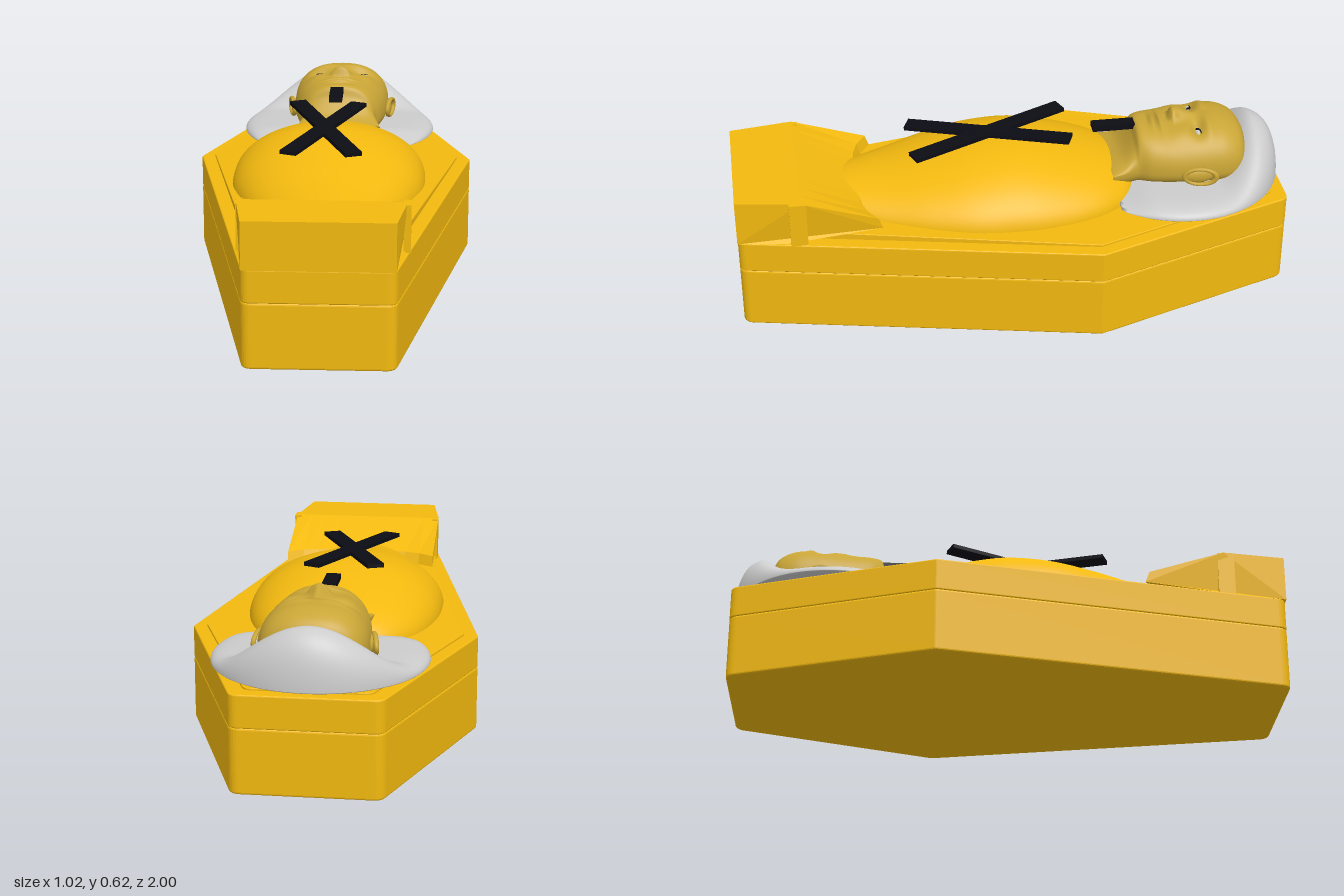
import * as THREE from 'three';
import { ParametricGeometry } from 'three/addons/geometries/ParametricGeometry.js';

const mat = (color) => new THREE.MeshStandardMaterial({ color, side: THREE.DoubleSide });
const gold = mat(0xf2b90f), skin = mat(0xc9a536), grey = mat(0xcccccc), black = mat(0x0c0c14);
const smooth = THREE.MathUtils.smoothstep;
const bump = (x, z, sx, sz) => Math.exp(-((x / sx) ** 2) - (z / sz) ** 2);
const spow = (v, p) => Math.sign(v) * Math.abs(v) ** p;

export function createModel() {
  const group = new THREE.Group();
  const add = (name, geometry, material, x = 0, y = 0, z = 0) => {
    const mesh = new THREE.Mesh(geometry, material);
    mesh.name = name;
    mesh.position.set(x, y, z);
    group.add(mesh);
    return mesh;
  };
  const deform = (g, rule) => {
    const p = g.attributes.position, v = new THREE.Vector3();
    for (let i = 0; i < p.count; i++) {
      rule(v.fromBufferAttribute(p, i));
      p.setXYZ(i, v.x, v.y, v.z);
    }
    g.computeVertexNormals();
    return g;
  };

  // Six-sided coffin outline with softened corners
  const outline = (inset) => {
    const a = 0.25 - inset * 0.8, b = 0.51 - inset, e = 0.995 - inset;
    const pts = [[-a, -e], [a, -e], [b, 0.265], [a, e], [-a, e], [-b, 0.265]].map((p) => new THREE.Vector2(...p));
    const shape = new THREE.Shape();
    pts.forEach((p, i) => {
      const prev = pts[(i + 5) % 6], next = pts[(i + 1) % 6];
      const r = i % 3 === 2 ? 0.004 : 0.025;
      const from = p.clone().lerp(prev, r / p.distanceTo(prev));
      const to = p.clone().lerp(next, r / p.distanceTo(next));
      if (i) shape.lineTo(from.x, from.y); else shape.moveTo(from.x, from.y);
      shape.quadraticCurveTo(p.x, p.y, to.x, to.y);
    });
    return shape;
  };
  const slab = (y0, y1, inset, bevel) => new THREE.ExtrudeGeometry(outline(inset + bevel), {
    depth: y1 - y0 - 2 * bevel, bevelSize: bevel, bevelThickness: bevel, bevelSegments: 3, curveSegments: 6,
  }).rotateX(-Math.PI / 2).translate(0, y0 + bevel, 0);
  add('coffinBase', slab(0, 0.231, 0, 0.008), gold);
  add('coffinLid', slab(0.229, 0.345, 0, 0.005), gold);
  // Thin bed board, a little higher towards the feet
  add('bedBoard', deform(slab(0.34, 0.352, 0.05, 0.003), (v) => {
    if (v.y > 0.345) v.y += 0.022 * smooth(v.z, -0.4, 0.6);
  }), gold);

  // Shrouded body: arched sections along its length, as [z, half width, top]
  const bodyLine = new THREE.CatmullRomCurve3([
    [-0.46, 0.02, 0.38], [-0.43, 0.18, 0.43], [-0.35, 0.26, 0.465], [-0.25, 0.31, 0.495], [-0.1, 0.345, 0.53],
    [0, 0.352, 0.542], [0.15, 0.345, 0.53], [0.3, 0.305, 0.5], [0.45, 0.245, 0.466], [0.62, 0.17, 0.44],
  ].map((p) => new THREE.Vector3(...p)));
  add('shroudedBody', new ParametricGeometry((u, v, out) => {
    const s = bodyLine.getPoint(v), a = u * Math.PI;
    out.set(s.y * Math.cos(a) - 0.01, 0.343 + (s.z - 0.343) * Math.sin(a), s.x);
  }, 40, 60), gold);

  // Foot box with a flap sloping down over the legs
  const profile = new THREE.Shape([[0.997, 0.343], [0.997, 0.51], [0.77, 0.51], [0.5, 0.425], [0.485, 0.385], [0.84, 0.343]]
    .map((p) => new THREE.Vector2(...p)));
  const footBox = new THREE.ExtrudeGeometry(profile, { depth: 0.57, steps: 10, bevelEnabled: false })
    .translate(0, 0, -0.285).rotateY(-Math.PI / 2);
  add('footBox', deform(footBox, (v) => {
    if (v.z < 0.6) v.z += 0.06 * (1 - (v.x / 0.285) ** 4);
    v.x *= 1 - 0.12 * smooth(v.z, 0.77, 1);
  }), gold);
  add('footBoxTab', new THREE.BoxGeometry(0.025, 0.165, 0.06), gold, 0.282, 0.427, 0.78);
  add('footBoxTab', new THREE.BoxGeometry(0.02, 0.165, 0.06), gold, -0.272, 0.427, 0.78);

  // Round pillow, rising to a hood behind the crown and cut straight at the neck
  add('pillow', new ParametricGeometry((u, v, out) => {
    const a = u * Math.PI * 2, s = v * 2, r = Math.sin(Math.min(s, 2 - s) * Math.PI / 2);
    const x = 0.372 * r * Math.cos(a), z = Math.min(-0.628 + 0.372 * r * Math.sin(a), -0.375);
    const hood = 0.165 * (1 - smooth(z, -0.91, -0.74)) * Math.exp(-((x / 0.27) ** 2));
    const edge = Math.sqrt(Math.max(0, 1 - r ** 9)) * (1 - smooth(z, -0.5, -0.35) * 0.8);
    out.set(x, s <= 1 ? 0.362 + (0.038 + hood) * edge : 0.362 - 0.012 * edge, z);
  }, 72, 64), grey);

  // Head lying face up: sections from crown to neck, as [z, half width, top]
  const headLine = new THREE.CatmullRomCurve3([
    [-0.876, 0.005, 0.47], [-0.865, 0.1, 0.525], [-0.835, 0.16, 0.564], [-0.78, 0.182, 0.588], [-0.7, 0.185, 0.59],
    [-0.62, 0.18, 0.58], [-0.56, 0.172, 0.577], [-0.5, 0.157, 0.577], [-0.467, 0.14, 0.57],
    [-0.45, 0.138, 0.53], [-0.41, 0.15, 0.475], [-0.36, 0.16, 0.445],
  ].map((p) => new THREE.Vector3(...p)));
  const features = (x, z) => {
    const ax = Math.abs(x);
    const along = smooth(z, -0.7, -0.605) * (1 - smooth(z, -0.603, -0.582));
    let d = along * 0.04 * Math.exp(-((x / (0.014 + 0.014 * along)) ** 2)); // nose
    d += 0.012 * bump(ax - 0.027, z + 0.605, 0.012, 0.016); // nostrils
    d -= 0.022 * bump(ax - 0.075, z + 0.682, 0.042, 0.024); // eye sockets
    d += 0.009 * bump(ax - 0.07, z + 0.722, 0.06, 0.018); // brows
    d += 0.007 * bump(ax - 0.1, z + 0.62, 0.04, 0.04); // cheeks
    d += 0.009 * (bump(x, z + 0.557, 0.055, 0.012) + bump(x, z + 0.53, 0.045, 0.012)); // lips
    d -= 0.012 * bump(x, z + 0.543, 0.06, 0.006); // mouth line
    d -= 0.007 * bump(x, z + 0.51, 0.05, 0.012); // hollow above the chin
    return d;
  };
  add('head', new ParametricGeometry((u, v, out) => {
    const s = headLine.getPoint(v), a = u * Math.PI * 2, mid = 0.44;
    const x = s.y * spow(Math.cos(a), 0.85), sn = spow(Math.sin(a), 0.88);
    let y = mid + sn * (sn > 0 ? s.z - mid : 0.08 * Math.min(1, s.y / 0.12));
    if (sn > 0) y += features(x, s.x) * smooth(sn, 0.3, 0.8);
    out.set(x + 0.006, y, s.x);
  }, 120, 130), skin);

  // Eyes and ears, mirrored
  const ball = new THREE.SphereGeometry(1, 20, 14);
  for (const side of [1, -1]) {
    const cx = 0.006 + side * 0.075;
    add('eye', ball, grey, cx, 0.553, -0.685).scale.set(0.032, 0.012, 0.011);
    add('iris', ball, black, cx, 0.56, -0.686).scale.set(0.011, 0.007, 0.009);
    add('eyelidLine', ball, black, cx, 0.559, -0.694).scale.set(0.032, 0.006, 0.003);
    add('ear', ball, skin, 0.006 + side * 0.183, 0.435, -0.672).scale.set(0.016, 0.03, 0.058);
    const rim = add('earRim', new THREE.TorusGeometry(0.045, 0.009, 8, 28), skin, 0.006 + side * 0.195, 0.435, -0.675);
    rim.rotation.y = Math.PI / 2 - side * 0.2;
    rim.scale.set(1.25, 0.7, 1);
  }

  // Crossed straps over the chest and a short strap under the chin
  const strap = (name, x0, z0, x1, z1, y0, y1) => {
    const from = new THREE.Vector3(x0, y0, z0), to = new THREE.Vector3(x1, y1, z1);
    const m = add(name, new THREE.BoxGeometry(0.062, 0.014, from.distanceTo(to)), black);
    m.position.copy(from).lerp(to, 0.5);
    m.lookAt(to);
  };
  strap('crossStrap', -0.14, -0.215, 0.09, 0.355, 0.575, 0.543);
  strap('crossStrap', 0.09, -0.215, -0.14, 0.355, 0.571, 0.546);
  add('chinStrap', new THREE.BoxGeometry(0.05, 0.02, 0.155), black, -0.003, 0.56, -0.388);

  return group;
}
